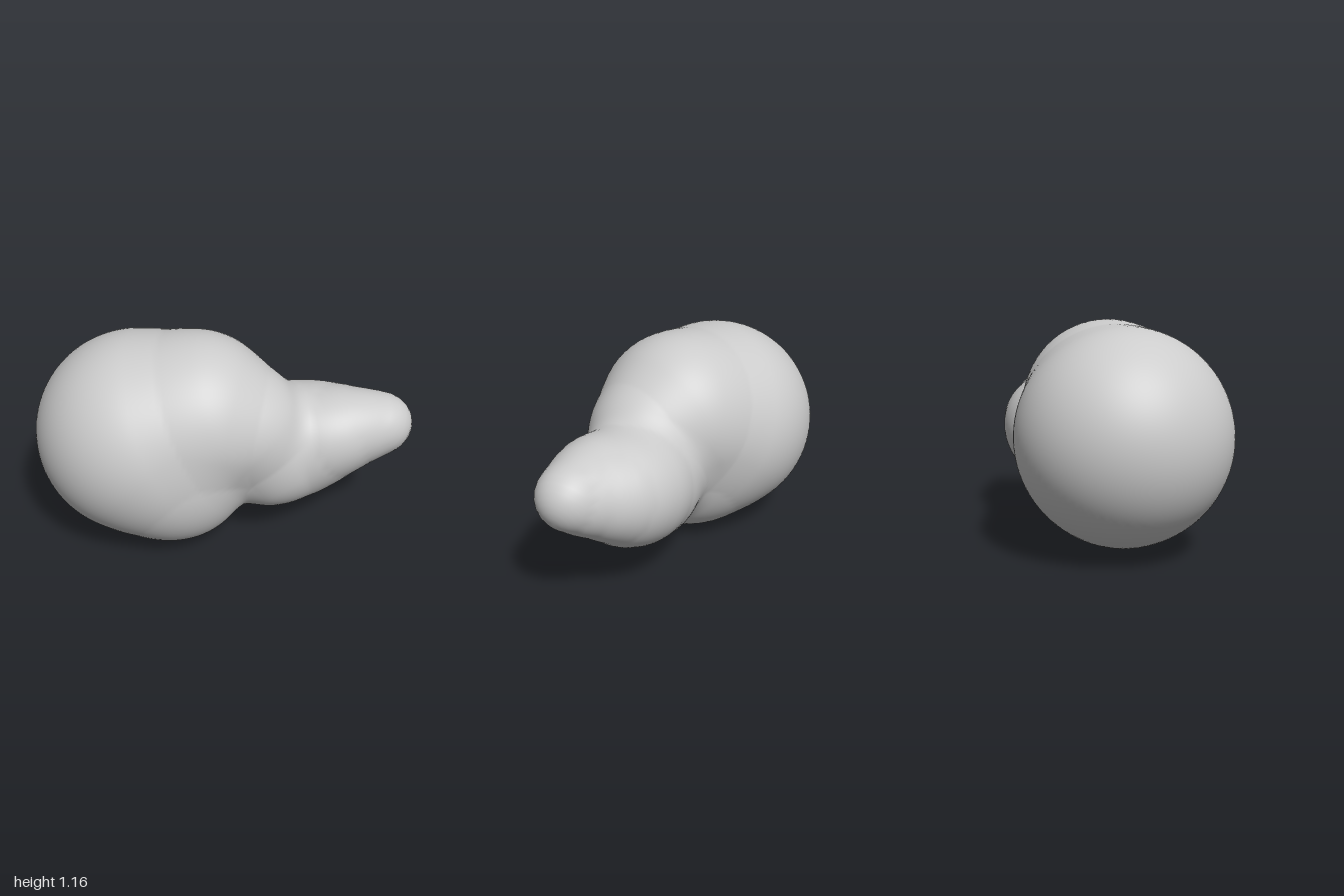
import * as THREE from 'three';

// Overlapping round masses: x, y, z, radius
const BLOBS = [
  [-0.455, 0.59, 0, 0.545],     // large rear mass
  [-0.155, 0.72, 0.05, 0.44],   // upper swelling
  [-0.28, 0.43, 0.07, 0.428],   // lower swelling
  [0.12, 0.675, 0.1, 0.3],      // bridge from body to neck
  [0.24, 0.48, 0.04, 0.315],    // neck root
  [0.42, 0.52, 0, 0.305],       // neck shoulder
  [0.55, 0.6, 0.09, 0.225],     // snout base
  [0.58, 0.56, -0.02, 0.228],   // snout underside
  [0.68, 0.635, 0.08, 0.185],   // snout
  [0.73, 0.585, 0.02, 0.165],   // snout chin
  [0.84, 0.64, 0.065, 0.155],   // snout tip
];
const BLEND = 0.1;

// Distance to the smoothly blended union of the masses
function distance(p) {
  let d = Infinity;
  for (const [x, y, z, r] of BLOBS) {
    const s = Math.hypot(p.x - x, p.y - y, p.z - z) - r;
    const h = Math.max(BLEND - Math.abs(d - s), 0) / BLEND;
    d = Math.min(d, s) - h * h * BLEND * 0.2;
  }
  return d;
}

function surfaceNormal(p) {
  const e = 0.015;
  const slope = (x, y, z) => {
    const o = new THREE.Vector3(x, y, z);
    return distance(p.clone().add(o)) - distance(p.clone().sub(o));
  };
  return new THREE.Vector3(slope(e, 0, 0), slope(0, e, 0), slope(0, 0, e)).normalize();
}

export function createModel() {
  const group = new THREE.Group();
  group.name = 'blobModel';

  // Shrink a sphere, with poles along x, onto the blended masses
  const geometry = new THREE.SphereGeometry(1, 96, 96).rotateZ(-Math.PI / 2);
  const centre = new THREE.Vector3(-0.02, 0.57, 0.04);
  const { position, normal } = geometry.attributes;
  const dir = new THREE.Vector3();
  const p = new THREE.Vector3();
  for (let i = 0; i < position.count; i++) {
    dir.fromBufferAttribute(position, i).normalize();
    let t = 1.5;
    for (let step = 0; step < 100; step++) {
      const d = distance(p.copy(centre).addScaledVector(dir, t));
      if (d < 0.0003) break;
      t -= d;
    }
    const n = surfaceNormal(p);
    position.setXYZ(i, p.x, p.y, p.z);
    normal.setXYZ(i, n.x, n.y, n.z);
  }

  const body = new THREE.Mesh(geometry, new THREE.MeshStandardMaterial({ color: 0xcccccc }));
  body.name = 'blobBody';
  group.add(body);
  return group;
}
